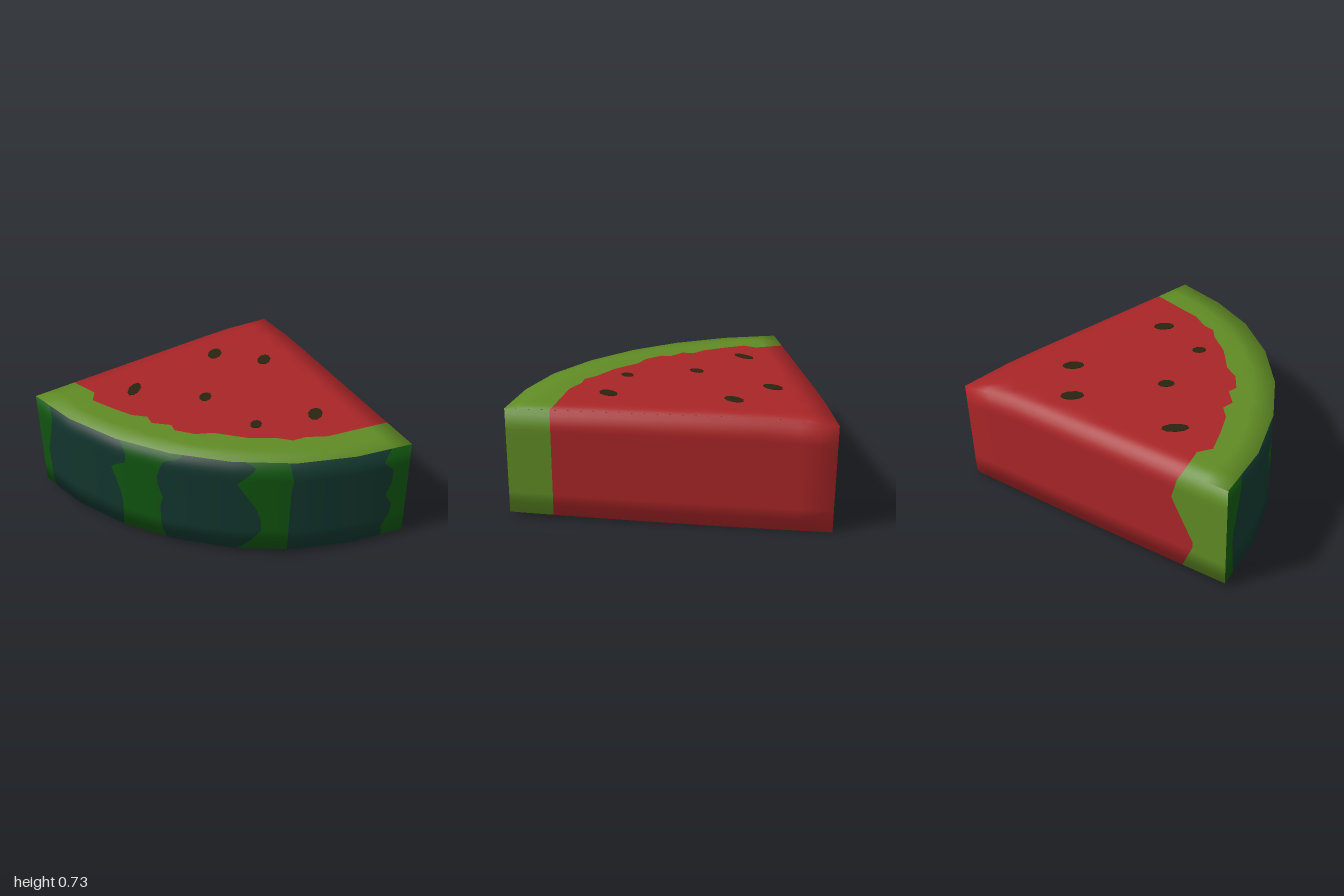
import * as THREE from 'three';

const mat = (name, color) => {
  const m = new THREE.MeshStandardMaterial({ color });
  m.name = name;
  return m;
};
const V = (x, y, z) => new THREE.Vector3(x, y, z);

// Plan outline as [x, z]: tip, outer skin and the flesh/rind border
const TIP = [-0.985, -1];
const OUTER = [[-0.985, 1], [-0.59, 0.96], [-0.2, 0.84], [0.14, 0.66], [0.45, 0.41], [0.71, 0.1], [0.88, -0.24], [0.99, -0.61]];
const INNER = [[-0.985, 0.7], [-0.78, 0.66], [-0.7, 0.72], [-0.54, 0.67], [-0.38, 0.61], [-0.3, 0.54], [-0.22, 0.56],
  [-0.12, 0.47], [-0.06, 0.49], [0.06, 0.41], [0.12, 0.31], [0.3, 0.17], [0.42, 0.02], [0.5, -0.04], [0.52, -0.13],
  [0.6, -0.25], [0.64, -0.4], [0.715, -0.663]];
const COLS = (OUTER.length - 1) * (INNER.length - 1);

const mix = (a, b, t) => a + (b - a) * t;
const mix2 = (a, b, t) => [mix(a[0], b[0], t), mix(a[1], b[1], t)];
const along = (line, f) => {
  const s = f * (line.length - 1), i = Math.min(Math.floor(s + 1e-9), line.length - 2);
  return mix2(line[i], line[i + 1], s - i);
};
// Piecewise linear lookup through [key, value] pairs
const lookup = (pairs, k) => {
  let i = 0;
  while (i < pairs.length - 2 && k > pairs[i + 1][0]) i++;
  const [a, b] = [pairs[i], pairs[i + 1]];
  return mix(a[1], b[1], Math.min(1, Math.max(0, (k - a[0]) / (b[0] - a[0]))));
};

const radius = (x, z) => Math.hypot(x - TIP[0], z - TIP[1]);
const yTop = (r) => 0.69 + 0.03 * Math.min(1, r / 0.4);
const yBottom = (r) => 0.03 * (r / 2) ** 2;
const at = ([x, z], v) => {
  const r = radius(x, z);
  return V(x, mix(yBottom(r), yTop(r), v), z);
};

// Face directions, and soft normals blended across nearby edges
const BACK = V(0.39, 0, -1.975).normalize();
const FACES = {
  top: { n: () => V(0, 1, 0), d: (p) => yTop(radius(p.x, p.z)) - p.y },
  bottom: { n: () => V(0, -1, 0), d: (p) => p.y - yBottom(radius(p.x, p.z)) },
  left: { n: () => V(-1, 0, 0), d: (p) => p.x - TIP[0] },
  back: { n: () => BACK.clone(), d: (p) => -((p.x - TIP[0]) * BACK.x + (p.z - TIP[1]) * BACK.z) },
  skin: { n: (p) => V(p.x - TIP[0], 0, p.z - TIP[1]).normalize(), d: (p) => 2 - radius(p.x, p.z) },
};
const isSide = (k) => k === 'left' || k === 'back';
function softNormal(p, face) {
  const n = FACES[face].n(p);
  for (const k in FACES) {
    if (k === face || (face === 'skin' && isSide(k)) || (k === 'skin' && isSide(face))) continue;
    const w = Math.min(1, Math.max(0, 1 - FACES[k].d(p) / 0.14));
    n.addScaledVector(FACES[k].n(p), w);
  }
  return n.normalize();
}

// Grid patch over us x vs, wound to face outward
function patch(name, material, face, us, vs, point) {
  const pos = [], nor = [], idx = [], pts = [];
  for (const v of vs) for (const u of us) {
    const p = point(u, v);
    pts.push(p);
    pos.push(p.x, p.y, p.z);
    nor.push(...softNormal(p, face).toArray());
  }
  const tri = (a, b, c) => {
    const n = pts[b].clone().sub(pts[a]).cross(pts[c].clone().sub(pts[a]));
    if (n.lengthSq() < 1e-14) return;
    if (n.dot(FACES[face].n(pts[a].clone().add(pts[b]).add(pts[c]).divideScalar(3))) > 0) idx.push(a, b, c);
    else idx.push(a, c, b);
  };
  const w = us.length;
  for (let j = 0; j < vs.length - 1; j++) for (let i = 0; i < w - 1; i++) {
    const a = j * w + i;
    tri(a, a + 1, a + w);
    tri(a + 1, a + w + 1, a + w);
  }
  const g = new THREE.BufferGeometry();
  g.setAttribute('position', new THREE.Float32BufferAttribute(pos, 3));
  g.setAttribute('normal', new THREE.Float32BufferAttribute(nor, 3));
  g.setIndex(idx);
  const mesh = new THREE.Mesh(g, material);
  mesh.name = name;
  return mesh;
}
const steps = (n) => Array.from({ length: n + 1 }, (_, i) => i / n);

// Stripe borders on the skin, as [height, x]
const BORDERS = [
  [[0, -0.985], [1, -0.985]],
  [[0.03, -0.87], [0.1, -0.89], [0.33, -0.9], [0.45, -0.86], [0.62, -0.81], [0.72, -0.82]],
  [[0.03, -0.2], [0.2, -0.19], [0.3, -0.2], [0.42, -0.24], [0.48, -0.27], [0.53, -0.2], [0.55, -0.155], [0.62, -0.15], [0.72, -0.18]],
  [[0.03, 0.09], [0.12, 0.06], [0.28, 0.06], [0.35, 0.08], [0.45, 0.05], [0.52, 0.05], [0.64, 0.09], [0.68, 0.19], [0.72, 0.2]],
  [[0.03, 0.47], [0.1, 0.53], [0.18, 0.57], [0.25, 0.57], [0.35, 0.55], [0.55, 0.47], [0.63, 0.53], [0.68, 0.55], [0.72, 0.5]],
  [[0.03, 0.68], [0.5, 0.69], [0.58, 0.7], [0.72, 0.68]],
  [[0.03, 0.945], [0.1, 0.942], [0.2, 0.957], [0.28, 0.96], [0.36, 0.945], [0.45, 0.957], [0.55, 0.957], [0.62, 0.937], [0.72, 0.95]],
  [[0, 0.99], [1, 0.99]],
];
// Flesh share of each cut side by height
const LEFT_SPLIT = [[0, 0.85], [0.1, 0.87], [0.2, 0.89], [0.35, 0.85], [0.5, 0.81], [0.65, 0.83], [0.72, 0.85]];
const BACK_SPLIT = [[0, 0.861], [0.72, 0.861]];

export function createModel() {
  const group = new THREE.Group();
  const red = mat('flesh red', 0xa82527);
  const lime = mat('rind light green', 0x5f8a24);
  const green = mat('skin green', 0x10530f);
  const dark = mat('stripe dark green', 0x12352d);
  const brown = mat('seed brown', 0x29240f);

  // Upper and lower faces
  for (const [face, v] of [['top', 1], ['bottom', 0]]) {
    const us = steps(COLS);
    group.add(patch(face + 'Flesh', red, face, us, [0, 0.05, 0.1, 0.2, 0.35, 0.6, 0.8, 1],
      (u, t) => at(mix2(TIP, along(INNER, u), t), v)));
    group.add(patch(face + 'Rind', lime, face, us, steps(4),
      (u, t) => at(mix2(along(INNER, u), along(OUTER, u), t), v)));
  }

  // Two straight cut sides
  for (const [face, end, split] of [['left', OUTER[0], LEFT_SPLIT], ['back', OUTER[7], BACK_SPLIT]]) {
    group.add(patch(face + 'Flesh', red, face, steps(16), steps(20),
      (u, v) => at(mix2(TIP, end, u * lookup(split, v * 0.72)), v)));
    group.add(patch(face + 'Rind', lime, face, steps(4), steps(20),
      (u, v) => at(mix2(TIP, end, mix(lookup(split, v * 0.72), 1, u)), v)));
  }

  // Curved skin, one mesh per stripe
  for (let i = 0; i < BORDERS.length - 1; i++) {
    group.add(patch(i % 2 ? 'darkStripe' : 'skinStripe', i % 2 ? dark : green, 'skin', steps(24), steps(28), (u, v) => {
      const y = 0.03 + v * 0.69;
      const x = mix(lookup(BORDERS[i], y), lookup(BORDERS[i + 1], y), u);
      return at([x, lookup(OUTER, x)], v);
    }));
  }

  // Seeds as thin plates: x, z, half length, half width, turn
  const seed = (name, x, y, z, a, b, turn) => {
    const m = new THREE.Mesh(new THREE.CylinderGeometry(1, 1, 0.008, 9), brown);
    m.name = name;
    m.scale.set(a, 1, b);
    m.rotation.y = turn;
    m.position.set(x, y, z);
    group.add(m);
  };
  for (const [x, z, a, b] of [[-0.43, -0.55, 0.072, 0.046], [-0.72, -0.32, 0.075, 0.048], [0.35, -0.36, 0.072, 0.048],
    [-0.27, 0.09, 0.055, 0.04], [0.21, 0.03, 0.048, 0.038], [-0.65, 0.42, 0.085, 0.04]])
    seed('topSeed', x, 0.72, z, a, b, -0.9);
  for (const [x, z] of [[0.02, -0.51], [-0.67, -0.58], [-0.32, 0.21], [-0.67, -0.06]])
    seed('bottomSeed', x, yBottom(radius(x, z)), z, 0.075, 0.05, -0.7);

  return group;
}
